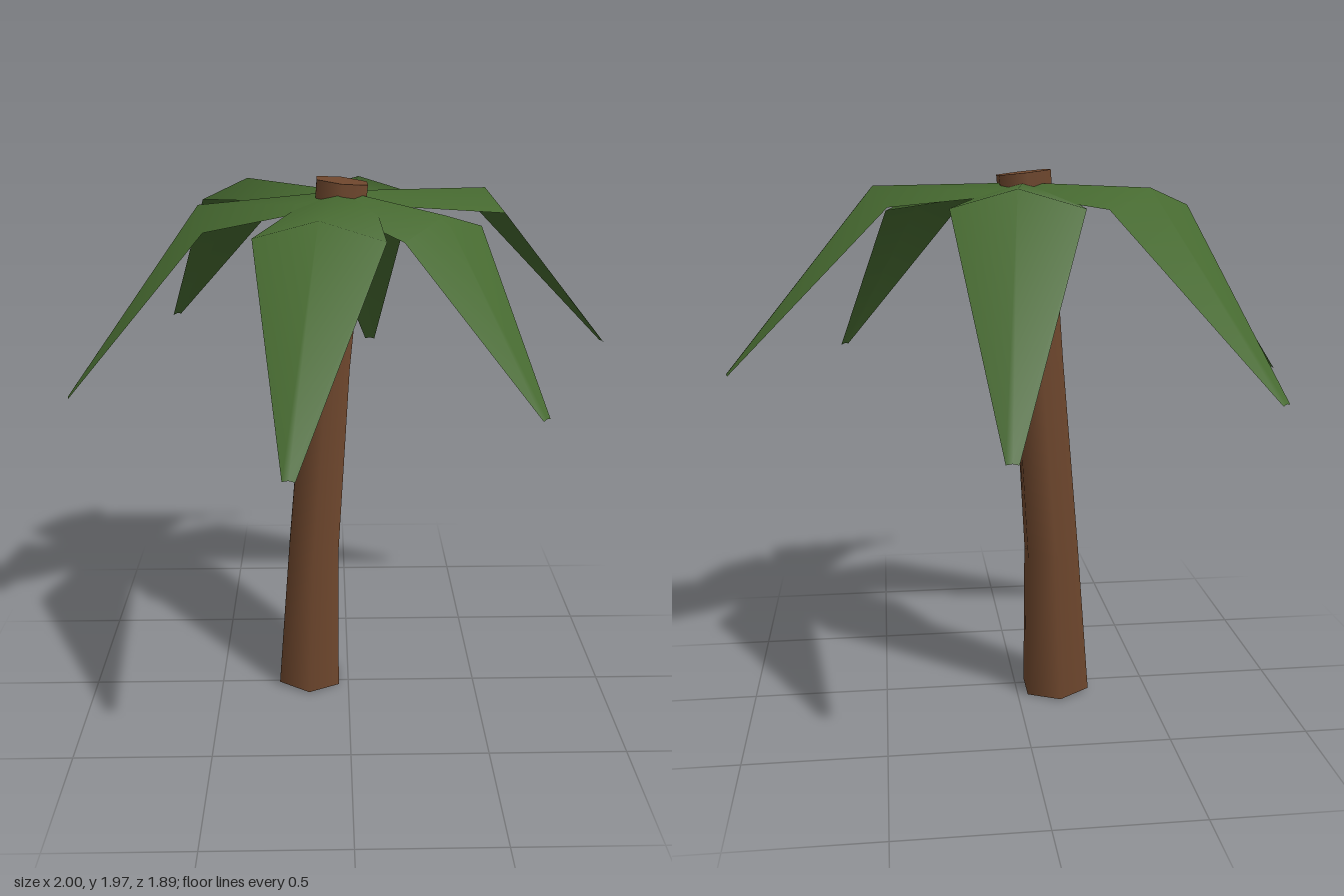
import * as THREE from 'three';

const bark = new THREE.MeshStandardMaterial({ color: 0x70482e });
bark.name = 'bark brown';
const green = new THREE.MeshStandardMaterial({ color: 0x466930, side: THREE.DoubleSide });
green.name = 'leaf green';
const orange = new THREE.MeshStandardMaterial({ color: 0xb05c20 });
orange.name = 'fruit orange';

// Leaning six-sided trunk: each ring is [x, y, z, radius, tilt]
function makeTrunk() {
  const rings = [
    [-0.155, 0.008, -0.035, 0.135, -0.06],
    [-0.132, 0.58, -0.045, 0.109, -0.06],
    [-0.078, 1.3, -0.058, 0.096, -0.09],
    [-0.02, 1.96, -0.077, 0.102, -0.11],
  ];
  const geo = new THREE.CylinderGeometry(1, 1, 3, 6, 3);
  const p = geo.attributes.position;
  for (let i = 0; i < p.count; i++) {
    const [x, y, z, r, tilt] = rings[Math.round(p.getY(i) + 1.5)];
    const dx = p.getX(i) * r;
    p.setXYZ(i, x + dx, y + dx * tilt, z + p.getZ(i) * r);
  }
  return new THREE.Mesh(geo, bark);
}

// Drooping leaf: rows of left edge, ridge and right edge at root, shoulder and tip
function makeLeaf(mid, tip) {
  const root = [-0.02, 1.925, -0.08];
  const dx = tip[0] - root[0], dz = tip[2] - root[2], len = Math.hypot(dx, dz);
  const rows = [[root, 0.11, 0.03], [mid, 0.212, 0.06], [tip, 0.02, 0.004]];
  const pos = [], index = [];
  rows.forEach(([c, half, drop], i) => {
    for (const s of [-1, 0, 1]) {
      pos.push(c[0] + s * half * dz / len, c[1] - Math.abs(s) * drop, c[2] - s * half * dx / len);
    }
    if (i === 2) return;
    for (let j = 0; j < 2; j++) {
      const a = i * 3 + j, b = a + 3;
      index.push(a, b, a + 1, b, b + 1, a + 1);
    }
  });
  const geo = new THREE.BufferGeometry();
  geo.setAttribute('position', new THREE.Float32BufferAttribute(pos, 3));
  geo.setIndex(index);
  geo.computeVertexNormals();
  return new THREE.Mesh(geo, green);
}

export function createModel() {
  const palm = new THREE.Group();
  palm.name = 'palmTree';

  const trunk = makeTrunk();
  trunk.name = 'trunk';
  palm.add(trunk);

  // Crown: shoulder and tip of each leaf
  const crown = new THREE.Group();
  crown.name = 'crown';
  const leaves = [
    [[0.495, 1.92, -0.195], [0.99, 1.32, -0.305]],
    [[0.05, 1.92, -0.52], [0.115, 1.165, -0.945]],
    [[-0.375, 1.92, -0.475], [-0.72, 1.3, -0.86]],
    [[-0.515, 1.89, 0.005], [-0.998, 1.23, 0.08]],
    [[-0.1, 1.905, 0.44], [-0.19, 1.25, 0.94]],
    [[0.312, 1.885, 0.218], [0.63, 1.28, 0.505]],
  ];
  leaves.forEach(([mid, tip], i) => {
    const leaf = makeLeaf(mid, tip);
    leaf.name = `leaf${i + 1}`;
    crown.add(leaf);
  });
  palm.add(crown);

  // Fruit tucked under the crown
  const fruit = new THREE.Mesh(new THREE.IcosahedronGeometry(0.092, 1), orange);
  fruit.name = 'fruit';
  fruit.position.set(0.008, 1.76, 0.012);
  palm.add(fruit);

  return palm;
}
